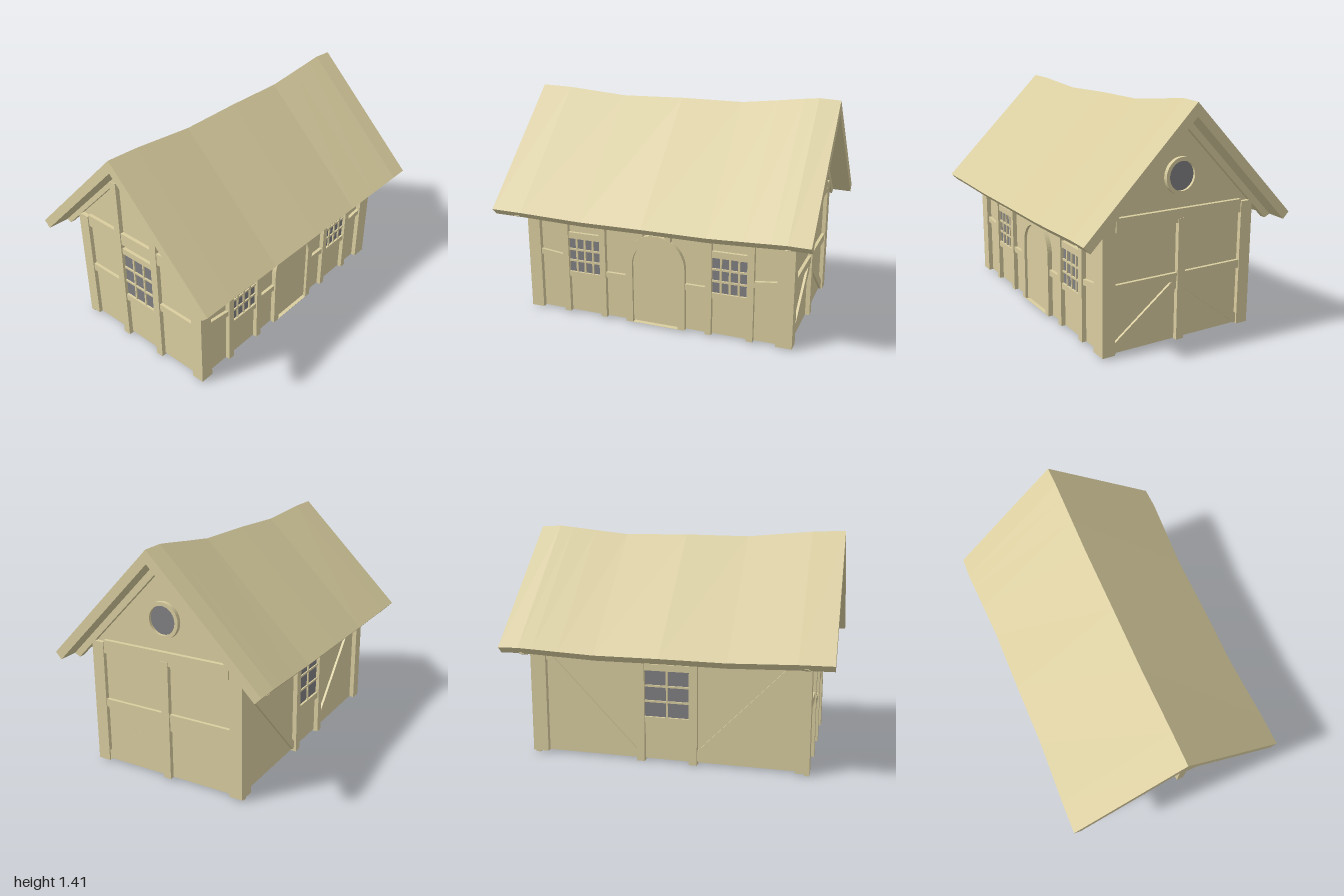
import * as THREE from 'three';

const tan = new THREE.MeshStandardMaterial({ color: 0xd9cd9f, flatShading: true, side: THREE.DoubleSide });
const grey = new THREE.MeshStandardMaterial({ color: 0x808083, side: THREE.DoubleSide });

function add(parent, name, geometry, material = tan) {
  const mesh = new THREE.Mesh(geometry, material);
  mesh.name = name;
  parent.add(mesh);
  return mesh;
}

// Timber between two points of a wall, reaching from behind the wall to "out"
function beam(wall, name, u0, v0, u1, v1, width, out = 0.02) {
  const back = -0.03;
  const mesh = add(wall, name, new THREE.BoxGeometry(Math.hypot(u1 - u0, v1 - v0), width, out - back));
  mesh.position.set((u0 + u1) / 2, (v0 + v1) / 2, (out + back) / 2);
  mesh.rotation.z = Math.atan2(v1 - v0, u1 - u0);
  return mesh;
}

const post = (wall, u, v0, v1, width) => beam(wall, 'post', u, v0, u, v1, width, 0.028);

// Glass pane with glazing bars
function addWindow(wall, u, v, w, h, cols, rows) {
  const group = new THREE.Group();
  group.name = 'window';
  group.position.set(u, v, 0);
  wall.add(group);
  add(group, 'glass', new THREE.PlaneGeometry(w, h), grey).position.z = 0.006;
  for (let i = 1; i < cols; i++) {
    add(group, 'glazingBar', new THREE.BoxGeometry(0.012, h, 0.02)).position.set(-w / 2 + w * i / cols, 0, 0.005);
  }
  for (let j = 1; j < rows; j++) {
    add(group, 'glazingBar', new THREE.BoxGeometry(w, 0.012, 0.02)).position.set(0, -h / 2 + h * j / rows, 0.005);
  }
}

function polygon(points) {
  return new THREE.Shape(points.map(([x, y]) => new THREE.Vector2(x, y)));
}

// One side of the house: local x along the wall, y up, z outward
function makeWall(house, name, x, z, turn, outline) {
  const wall = new THREE.Group();
  wall.name = name;
  wall.position.set(x, 0, z);
  wall.rotation.y = turn;
  house.add(wall);
  add(wall, 'wallPanel', new THREE.ShapeGeometry(polygon(outline)));
  return wall;
}

// Arch outline: straight jambs under a half circle
function archPath(Type, r, base, spring) {
  const p = new Type();
  p.moveTo(-r, base);
  p.lineTo(r, base);
  p.lineTo(r, spring);
  p.absarc(0, spring, r, 0, Math.PI, false);
  p.lineTo(-r, base);
  return p;
}

function addDoor(wall) {
  const door = new THREE.Group();
  door.name = 'door';
  door.position.x = 0.005;
  wall.add(door);
  const frame = archPath(THREE.Shape, 0.195, 0.01, 0.405);
  frame.holes.push(archPath(THREE.Path, 0.15, 0.011, 0.4));
  const frameMesh = add(door, 'doorFrame', new THREE.ExtrudeGeometry(frame, { depth: 0.05, bevelEnabled: false, curveSegments: 16 }));
  frameMesh.position.z = -0.02;
  const leaf = new THREE.ExtrudeGeometry(archPath(THREE.Shape, 0.15, 0.02, 0.4), { depth: 0.02, bevelEnabled: false, curveSegments: 16 });
  add(door, 'doorLeaf', leaf).position.z = -0.008;
}

// Sagging roof: an inverted V section swept along x
function makeRoof() {
  const ridge = [[-1, 1.397], [-0.8, 1.39], [-0.4, 1.355], [0, 1.361], [0.4, 1.357], [0.62, 1.38], [0.78, 1.398], [0.87, 1.407], [1, 1.4]];
  const section = ([x, top]) => {
    const sag = top - 1.405;
    const ez = 0.693 + sag * 0.4, ey = 0.714 + sag * 0.5;
    return [[ez, ey], [0, top], [-ez, ey], [-ez + 0.04, ey - 0.04], [0, top - 0.078], [ez - 0.04, ey - 0.04]]
      .map(([z, y]) => [x, y, z]);
  };
  const rings = ridge.map(section);
  const pos = [];
  const quad = (a, b, c, d) => pos.push(...a, ...b, ...c, ...a, ...c, ...d);
  for (let i = 0; i < rings.length - 1; i++) {
    for (let k = 0; k < 6; k++) {
      const n = (k + 1) % 6;
      quad(rings[i][k], rings[i + 1][k], rings[i + 1][n], rings[i][n]);
    }
  }
  // Gable ends of the slab
  const [first, last] = [rings[0], rings[rings.length - 1]];
  quad(first[0], first[1], first[4], first[5]);
  quad(first[1], first[2], first[3], first[4]);
  quad(last[5], last[4], last[1], last[0]);
  quad(last[4], last[3], last[2], last[1]);
  const g = new THREE.BufferGeometry();
  g.setAttribute('position', new THREE.Float32BufferAttribute(pos, 3));
  g.computeVertexNormals();
  return g;
}

export function createModel() {
  const house = new THREE.Group();
  house.name = 'cottage';
  add(house, 'roof', makeRoof());

  const longWall = [[-0.85, 0.012], [0.85, 0.012], [0.85, 0.78], [-0.85, 0.78]];
  const gable = [[-0.48, 0.012], [0.48, 0.012], [0.48, 0.83], [0, 1.31], [-0.48, 0.83]];

  // Front: door, two windows and rails
  const front = makeWall(house, 'frontWall', 0.01, 0.48, 0, longWall);
  addDoor(front);
  for (const s of [-1, 1]) {
    post(front, s * 0.61, 0.01, 0.76, 0.042);
    post(front, s * 0.35, 0.01, 0.76, 0.04);
    post(front, s * 0.09, 0.57, 0.76, 0.036);
    addWindow(front, s * 0.48, 0.398, 0.225, 0.225, 4, 3);
    beam(front, 'windowSill', s * 0.37, 0.268, s * 0.59, 0.268, 0.036);
    beam(front, 'windowLintel', s * 0.37, 0.53, s * 0.59, 0.53, 0.04);
    beam(front, 'rail', s * 0.18, 0.297, s * 0.34, 0.297, 0.037);
    beam(front, 'slopedRail', s * 0.61, 0.375, s * 0.81, 0.398, 0.035);
  }

  // Back: central window and two long braces
  const back = makeWall(house, 'backWall', 0.01, -0.48, Math.PI, longWall);
  addWindow(back, 0.01, 0.43, 0.28, 0.29, 2, 3);
  beam(back, 'windowSill', -0.15, 0.265, 0.17, 0.265, 0.04);
  beam(back, 'windowLintel', -0.15, 0.595, 0.17, 0.595, 0.04);
  for (const s of [-1, 1]) {
    post(back, 0.01 + s * 0.165, 0, 0.76, 0.05);
    beam(back, 'brace', s * 0.18, 0.035, s * 0.8, 0.67, 0.045, 0.015);
  }

  // Gable with the round window
  const right = makeWall(house, 'rightGable', 0.855, 0, Math.PI / 2, gable);
  post(right, 0.005, 0.01, 0.74, 0.05);
  beam(right, 'tieBeam', -0.425, 0.755, 0.425, 0.755, 0.08, 0.025);
  beam(right, 'rail', -0.44, 0.394, 0.44, 0.394, 0.05);
  for (const s of [-1, 1]) beam(right, 'brace', s * 0.45, 0.028, s * 0.01, 0.365, 0.052, 0.015);
  const disc = add(right, 'roundGlass', new THREE.CircleGeometry(0.088, 32), grey);
  disc.position.set(0, 0.98, 0.008);
  const ring = new THREE.Shape().absarc(0, 0, 0.107, 0, Math.PI * 2, false);
  ring.holes.push(new THREE.Path().absarc(0, 0, 0.085, 0, Math.PI * 2, true));
  const ringMesh = add(right, 'roundWindowFrame', new THREE.ExtrudeGeometry(ring, { depth: 0.04, bevelEnabled: false, curveSegments: 32 }));
  ringMesh.position.set(0, 0.98, -0.015);

  // Gable with the tall window
  const left = makeWall(house, 'leftGable', -0.84, 0, -Math.PI / 2, gable);
  addWindow(left, -0.005, 0.49, 0.25, 0.31, 3, 3);
  beam(left, 'windowSill', -0.15, 0.31, 0.14, 0.31, 0.045);
  beam(left, 'windowLintel', -0.15, 0.665, 0.14, 0.665, 0.04);
  beam(left, 'tieBeam', -0.425, 0.755, 0.425, 0.755, 0.08, 0.022);
  for (const s of [-1, 1]) {
    post(left, -0.005 + s * 0.15, 0, 1.14, 0.05);
    beam(left, 'rail', s * 0.15, 0.394, s * 0.44, 0.394, 0.05);
  }

  // Rafters of both gables, running out under the eaves
  for (const wall of [right, left]) {
    for (const s of [-1, 1]) {
      const rafter = polygon([[0, 1.272], [0, 1.335], [s * 0.66, 0.675], [s * 0.615, 0.657]]);
      const mesh = add(wall, 'rafter', new THREE.ExtrudeGeometry(rafter, { depth: 0.035, bevelEnabled: false }));
      mesh.position.z = -0.01;
    }
  }
  add(house, 'ridgeBeam', new THREE.BoxGeometry(1.78, 0.035, 0.05)).position.set(0.01, 1.285, 0);

  // Corner posts with small feet at the back
  for (const [x, w] of [[-0.823, 0.085], [0.83, 0.1]]) {
    for (const s of [-1, 1]) {
      add(house, 'cornerPost', new THREE.BoxGeometry(w, 0.77, 0.08)).position.set(x, 0.395, s * 0.47);
    }
    add(house, 'postFoot', new THREE.BoxGeometry(0.03, 0.02, 0.03)).position.set(Math.sign(x) * 0.85, 0.01, -0.495);
  }
  return house;
}
